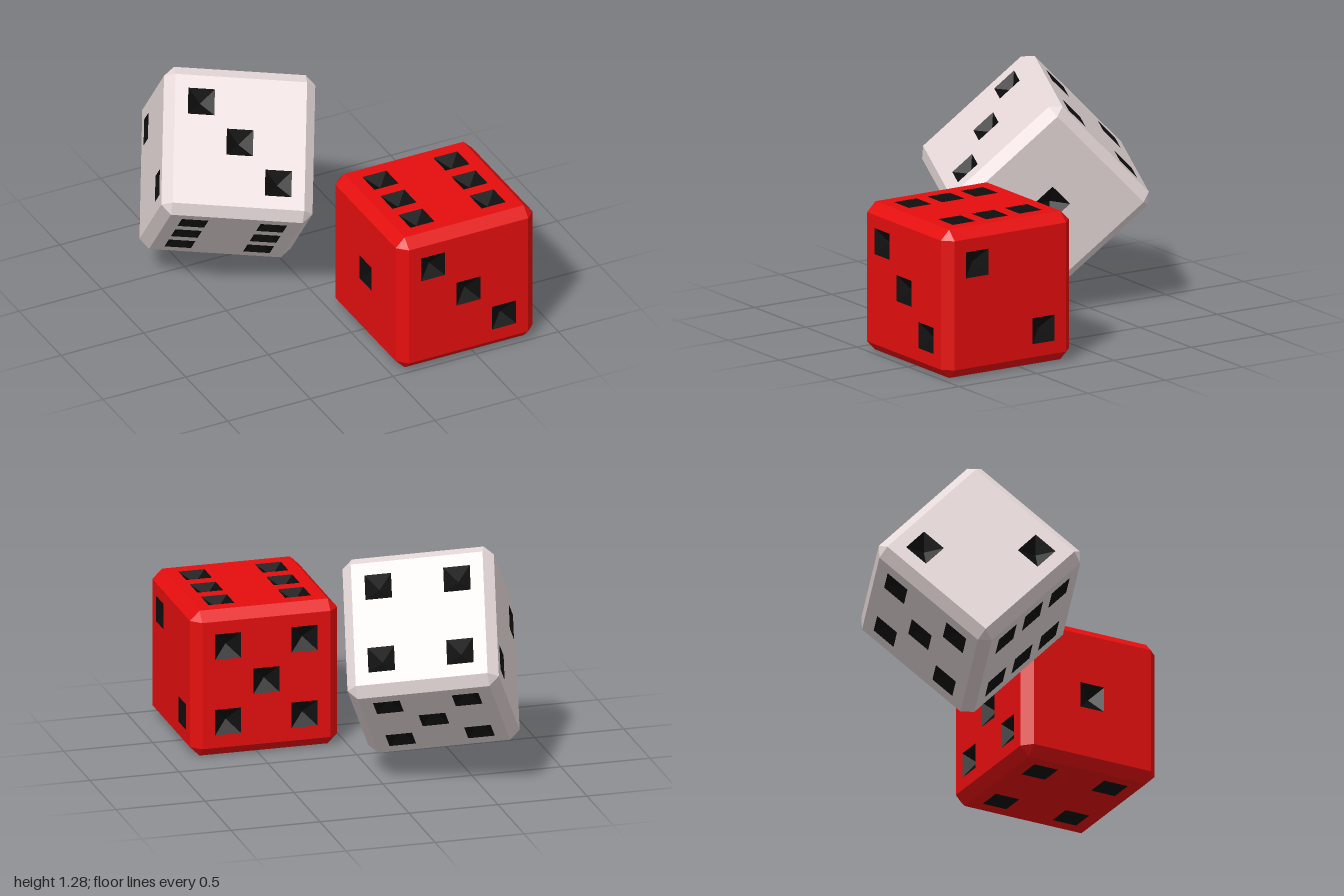
import * as THREE from 'three';
import { mergeGeometries } from 'three/addons/utils/BufferGeometryUtils.js';

const H = 0.4135;      // half size of a die
const A = 0.36;        // half size of the flat part of a face
const STEP = 0.215;    // pip spacing
const PIP = 0.0725;    // half size of a pip
const DEPTH = 0.05;    // depth of a pip

// Pip positions on each face in grid steps, with the turn that moves the face from +z into place
const FACES = [
  { pips: [[-1, 1], [0, 0], [1, -1]], x: 0, y: 0 },                                        // front: 3
  { pips: [[-1, -1], [1, 1], [-1, 1], [1, -1], [0, 0]], x: 0, y: Math.PI },                // back: 5
  { pips: [[-1, 1], [1, -1]], x: 0, y: Math.PI / 2 },                                      // right: 2
  { pips: [[0, 0]], x: 0, y: -Math.PI / 2 },                                               // left: 1
  { pips: [[-1, -1], [-1, 0], [-1, 1], [1, -1], [1, 0], [1, 1]], x: -Math.PI / 2, y: 0 },  // top: 6
  { pips: [[-1, -1], [1, 1], [-1, 1], [1, -1]], x: Math.PI / 2, y: 0 },                    // bottom: 4
];

function square(path, cx, cy, r) {
  path.moveTo(cx - r, cy - r);
  path.lineTo(cx + r, cy - r);
  path.lineTo(cx + r, cy + r);
  path.lineTo(cx - r, cy + r);
  path.closePath();
  return path;
}

// Plain position + flat normal geometry, ready to merge
function plain(geo) {
  const g = geo.index ? geo.toNonIndexed() : geo;
  g.deleteAttribute('uv');
  g.computeVertexNormals();
  return g;
}

// Flat faces with square openings for the pips
function facesGeometry() {
  return mergeGeometries(FACES.map(({ pips, x, y }) => {
    const shape = square(new THREE.Shape(), 0, 0, A);
    for (const [px, py] of pips) shape.holes.push(square(new THREE.Path(), px * STEP, py * STEP, PIP));
    return plain(new THREE.ShapeGeometry(shape).translate(0, 0, H).rotateX(x).rotateY(y));
  }));
}

// Pips: four-sided hollows seen from inside
function pipsGeometry() {
  const parts = [];
  for (const { pips, x, y } of FACES) {
    for (const [px, py] of pips) {
      const g = new THREE.ConeGeometry(PIP * Math.SQRT2, DEPTH, 4, 1, true);
      g.rotateY(Math.PI / 4).scale(1, -1, 1).rotateX(Math.PI / 2);
      g.translate(px * STEP, py * STEP, H - DEPTH / 2).rotateX(x).rotateY(y);
      parts.push(plain(g));
    }
  }
  return mergeGeometries(parts);
}

// Chamfered edges and corner triangles
function bevelGeometry() {
  const parts = [];
  for (let axis = 0; axis < 3; axis++) {
    for (let k = 0; k < 4; k++) {
      const g = new THREE.PlaneGeometry(2 * A, (H - A) * Math.SQRT2);
      g.translate(0, 0, (H + A) / Math.SQRT2).rotateX(Math.PI / 4 + k * Math.PI / 2);
      if (axis === 1) g.rotateZ(Math.PI / 2);
      if (axis === 2) g.rotateY(Math.PI / 2);
      parts.push(plain(g));
    }
  }
  for (const sx of [-1, 1]) for (const sy of [-1, 1]) for (const sz of [-1, 1]) {
    const tri = [[H, A, A], [A, H, A], [A, A, H]].map(([x, y, z]) => new THREE.Vector3(x * sx, y * sy, z * sz));
    if (sx * sy * sz < 0) tri.reverse();
    parts.push(plain(new THREE.BufferGeometry().setFromPoints(tri)));
  }
  return mergeGeometries(parts);
}

function createDie(name, color) {
  const die = new THREE.Group();
  die.name = name;
  const body = new THREE.MeshStandardMaterial({ color, flatShading: true });
  const black = new THREE.MeshStandardMaterial({ color: 0x0c0c0c, flatShading: true });
  const add = (part, geo, mat) => {
    const mesh = new THREE.Mesh(geo, mat);
    mesh.name = part;
    die.add(mesh);
  };
  add('faces', facesGeometry(), body);
  add('bevels', bevelGeometry(), body);
  add('pips', pipsGeometry(), black);
  return die;
}

export function createModel() {
  const model = new THREE.Group();
  model.name = 'pairOfDice';

  // Red die resting on the ground
  const red = createDie('redDie', 0xe60e0e);
  red.position.set(0.458, H, 0.585);

  // White die tumbling behind it
  const white = createDie('whiteDie', 0xe8dada);
  const xAxis = new THREE.Vector3(-0.922, 0.134, -0.361).normalize();
  const zAxis = new THREE.Vector3(-0.16, 0.725, 0.67);
  zAxis.addScaledVector(xAxis, -zAxis.dot(xAxis)).normalize();
  const yAxis = new THREE.Vector3().crossVectors(zAxis, xAxis);
  white.quaternion.setFromRotationMatrix(new THREE.Matrix4().makeBasis(xAxis, yAxis, zAxis));
  white.position.set(-0.311, 0.69, -0.361);

  model.add(red, white);
  return model;
}
